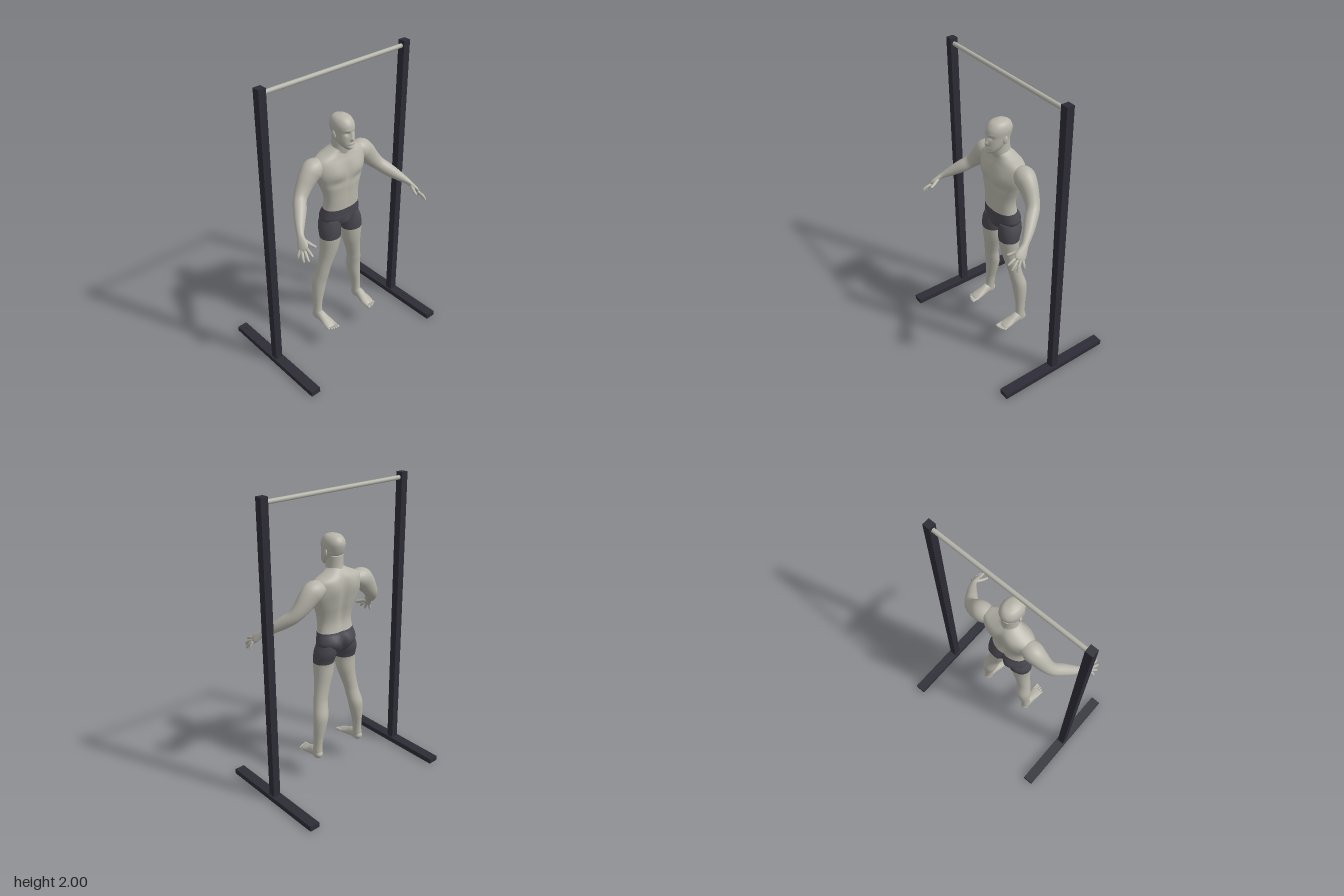
import * as THREE from 'three';

const V = (x, y, z) => new THREE.Vector3(x, y, z);
const paint = (name, color) => Object.assign(new THREE.MeshStandardMaterial({ color }), { name });

// Catmull-Rom interpolation through rows of numbers
function smoothRows(rows, steps) {
  const out = [];
  const at = i => rows[Math.min(Math.max(i, 0), rows.length - 1)];
  for (let i = 0; i < rows.length - 1; i++) {
    for (let k = 0; k < steps; k++) {
      const t = k / steps;
      out.push(rows[i].map((b, c) => {
        const a = at(i - 1)[c], d = at(i + 1)[c], e = at(i + 2)[c];
        return b + 0.5 * t * (d - a + t * (2 * a - 5 * b + 4 * d - e + t * (3 * (b - d) + e - a)));
      }));
    }
  }
  out.push(at(rows.length - 1));
  return out;
}

// Closed loft through [x, y, z, radius along hint, other radius]
function loft(sections, { hint = V(1, 0, 0), flat = false, sides = 24, steps = 4, power = 2, side = 1, sculpt, inShorts } = {}) {
  const rows = smoothRows(sections, steps);
  const centres = rows.map(r => V(r[0] * side, r[1], r[2]));
  const pos = [], index = [], last = rows.length - 1;
  const geo = new THREE.BufferGeometry();
  const round = c => Math.sign(c) * Math.abs(c) ** (2 / power);
  rows.forEach((r, i) => {
    const t = centres[Math.min(i + 1, last)].clone().sub(centres[Math.max(i - 1, 0)]);
    if (flat) t.set(0, Math.sign(t.y), 0);
    t.normalize();
    const u = V(hint.x * side, hint.y, hint.z);
    u.addScaledVector(t, -u.dot(t)).normalize();
    const v = t.clone().cross(u);
    for (let j = 0; j < sides; j++) {
      const a = j / sides * Math.PI * 2;
      const p = centres[i].clone().addScaledVector(u, r[3] * round(Math.cos(a))).addScaledVector(v, r[4] * round(Math.sin(a)));
      if (sculpt) sculpt(p);
      pos.push(p.x, p.y, p.z);
    }
  });
  const start = pos.length / 3;
  [0, last].forEach(i => pos.push(...centres[i].toArray()));
  for (let i = 0; i < last; i++) {
    const from = index.length;
    for (let j = 0; j < sides; j++) {
      const k = (j + 1) % sides, a = i * sides + j, b = i * sides + k;
      index.push(a, b, b + sides, a, b + sides, a + sides);
      if (i === 0) index.push(start, b, a);
      if (i === last - 1) index.push(start + 1, a + sides, b + sides);
    }
    const y = (centres[i].y + centres[i + 1].y) / 2;
    if (inShorts) geo.addGroup(from, index.length - from, inShorts(y) ? 1 : 0);
  }
  geo.setAttribute('position', new THREE.Float32BufferAttribute(pos, 3));
  geo.setIndex(index);
  geo.computeVertexNormals();
  return geo;
}

// Horizontal slices [y, x centre, half width, front z, back z]
const slices = list => list.map(([y, x, w, f, b]) => [x, y, (f + b) / 2, w, (f - b) / 2]);

// Soft push in z around a mirrored spot; front and back are kept apart
function push(p, x, y, sx, sy, amount, front = true, split = 0.03) {
  if (front !== p.z > split) return;
  p.z += amount * Math.exp(-(((Math.abs(p.x) - x) / sx) ** 2) - ((p.y - y) / sy) ** 2);
}

export function createModel() {
  const model = new THREE.Group();
  const skin = paint('skin', 0xb7b5aa), shorts = paint('shorts', 0x4a4850);
  const frame = paint('frame', 0x2d2c36), steel = paint('steel', 0xb4b3a8);
  const add = (name, geo, mat, parent = model) => {
    const mesh = new THREE.Mesh(geo, mat);
    mesh.name = name;
    parent.add(mesh);
    return mesh;
  };
  const inShorts = y => y > 0.85 && y < 1.06;

  // Pull-up frame
  for (const s of [1, -1]) {
    add('post', new THREE.BoxGeometry(0.05, 1.965, 0.05), frame).position.set(s * 0.55, 1.0175, 0);
    add('baseFoot', new THREE.BoxGeometry(0.07, 0.035, 0.82), frame).position.set(s * 0.55, 0.0175, 0);
  }
  const bar = add('bar', new THREE.CylinderGeometry(0.014, 0.014, 1.05, 24), steel);
  bar.rotation.z = Math.PI / 2;
  bar.position.y = 1.965;

  const figure = new THREE.Group();
  figure.name = 'figure';
  model.add(figure);

  // Torso with pelvis
  add('torso', loft(slices([
    [0.9, 0, 0.03, 0.06, -0.02], [0.93, 0, 0.1, 0.085, -0.05], [0.98, 0, 0.147, 0.1, -0.068],
    [1.02, 0, 0.144, 0.103, -0.064], [1.06, 0, 0.133, 0.105, -0.048], [1.12, 0, 0.128, 0.106, -0.038],
    [1.18, 0, 0.138, 0.106, -0.045], [1.25, 0, 0.163, 0.109, -0.062], [1.32, 0, 0.188, 0.108, -0.074],
    [1.38, 0, 0.192, 0.098, -0.077], [1.42, 0, 0.175, 0.083, -0.072], [1.45, 0, 0.11, 0.074, -0.058],
    [1.48, 0, 0.055, 0.07, -0.035], [1.5, 0, 0.045, 0.06, -0.02],
  ]), {
    flat: true, sides: 64, power: 2.2, inShorts,
    sculpt: p => {
      push(p, 0.085, 1.33, 0.06, 0.05, 0.012);
      push(p, 0.08, 1.26, 0.06, 0.02, -0.008);
      push(p, 0, 1.33, 0.014, 0.07, -0.008);
      push(p, 0, 1.14, 0.012, 0.09, -0.004);
      push(p, 0, 1.25, 0.025, 0.18, 0.016, false);
      push(p, 0.08, 1.37, 0.05, 0.06, -0.01, false);
      push(p, 0.065, 0.98, 0.045, 0.04, -0.012, false);
      push(p, 0, 0.96, 0.015, 0.06, 0.025, false);
      push(p, 0, 0.95, 0.03, 0.03, 0.012);
    },
  }), [skin, shorts], figure);

  // Neck and head
  add('neck', loft(slices([
    [1.4, 0, 0.07, 0.07, -0.05], [1.44, 0, 0.066, 0.078, -0.046], [1.48, 0, 0.055, 0.086, -0.034],
    [1.52, 0, 0.052, 0.085, -0.03], [1.56, 0, 0.05, 0.08, -0.03],
  ]), { flat: true, sides: 32 }), skin, figure);
  add('head', loft(slices([
    [1.483, 0, 0.02, 0.122, 0.08], [1.5, 0, 0.037, 0.132, 0.045], [1.525, 0, 0.051, 0.132, 0.01],
    [1.555, 0, 0.059, 0.13, -0.02], [1.59, 0, 0.063, 0.127, -0.038], [1.63, 0, 0.066, 0.127, -0.047],
    [1.66, 0, 0.058, 0.112, -0.037], [1.68, 0, 0.04, 0.088, -0.014], [1.69, 0, 0.008, 0.05, 0.03],
  ]), {
    flat: true, sides: 72, steps: 6, power: 2.1,
    sculpt: p => {
      push(p, 0.025, 1.592, 0.012, 0.01, -0.012, true, 0.06);
      push(p, 0.025, 1.61, 0.02, 0.007, 0.005, true, 0.06);
      push(p, 0, 1.556, 0.01, 0.012, 0.017, true, 0.06);
      push(p, 0, 1.58, 0.007, 0.018, 0.009, true, 0.06);
      push(p, 0, 1.524, 0.02, 0.005, 0.006, true, 0.06);
      push(p, 0, 1.515, 0.02, 0.003, -0.005, true, 0.06);
      push(p, 0, 1.495, 0.02, 0.008, 0.006, true, 0.06);
    },
  }), skin, figure);

  const across = V(0.38, -0.36, -0.86);
  const fingers = [
    ['thumb', [0.458, 1.085, 0.22], [0.44, 1.067, 0.262], [0.427, 1.06, 0.295]],
    ['indexFinger', [0.473, 1.053, 0.265], [0.477, 1.043, 0.298], [0.478, 1.03, 0.325]],
    ['middleFinger', [0.485, 1.045, 0.257], [0.497, 1.023, 0.292], [0.5, 1.0, 0.315]],
    ['ringFinger', [0.494, 1.04, 0.245], [0.51, 1.012, 0.27], [0.515, 0.985, 0.285]],
    ['littleFinger', [0.498, 1.042, 0.232], [0.516, 1.015, 0.237], [0.521, 0.99, 0.237]],
  ];

  for (const side of [1, -1]) {
    const label = side > 0 ? 'left' : 'right';
    const ear = add(label + 'Ear', new THREE.SphereGeometry(1, 16, 12), skin, figure);
    ear.scale.set(0.008, 0.026, 0.015);
    ear.position.set(side * 0.064, 1.573, 0.04);
    ear.rotation.set(-0.2, side * -0.3, 0);

    // Arm and palm in one sweep
    add(label + 'Arm', loft([
      [0.12, 1.385, -0.005, 0.045, 0.035], [0.19, 1.37, -0.003, 0.066, 0.068], [0.235, 1.335, 0, 0.06, 0.067],
      [0.285, 1.275, 0.01, 0.049, 0.055], [0.33, 1.225, 0.032, 0.042, 0.044], [0.37, 1.185, 0.078, 0.041, 0.042],
      [0.415, 1.143, 0.13, 0.033, 0.033], [0.453, 1.107, 0.18, 0.023, 0.02], [0.467, 1.087, 0.205, 0.028, 0.017],
      [0.48, 1.063, 0.233, 0.036, 0.015], [0.488, 1.048, 0.25, 0.03, 0.011], [0.491, 1.042, 0.257, 0.015, 0.005],
    ], { hint: across, side, sides: 32 }), skin, figure);
    for (const [name, base, mid, tip] of fingers) {
      const r = name === 'thumb' ? 0.011 : 0.009;
      const end = tip.map((c, i) => c + (mid[i] - c) * 0.12);
      add(label + name[0].toUpperCase() + name.slice(1), loft([
        [...base, r * 1.1, r * 1.1], [...mid, r, r], [...end, r * 0.7, r * 0.7], [...tip, r * 0.15, r * 0.15],
      ], { hint: across, side, sides: 12 }), skin, figure);
    }

    // Leg
    add(label + 'Leg', loft(slices([
      [0.98, 0.08, 0.058, 0.09, -0.058], [0.92, 0.088, 0.072, 0.1, -0.058], [0.85, 0.092, 0.073, 0.1, -0.035],
      [0.76, 0.098, 0.066, 0.09, -0.031], [0.68, 0.114, 0.056, 0.075, -0.028], [0.6, 0.134, 0.05, 0.06, -0.03],
      [0.55, 0.143, 0.05, 0.053, -0.04], [0.48, 0.155, 0.052, 0.041, -0.058], [0.4, 0.166, 0.044, 0.035, -0.053],
      [0.32, 0.176, 0.032, 0.03, -0.041], [0.26, 0.18, 0.029, 0.03, -0.036], [0.22, 0.182, 0.03, 0.035, -0.036],
      [0.18, 0.182, 0.027, 0.04, -0.036], [0.167, 0.182, 0.018, 0.03, -0.026],
    ]), { flat: true, side, sides: 36, inShorts }), [skin, shorts], figure);

    // Foot and toes
    add(label + 'Foot', loft([
      [0.183, 0.187, -0.04, 0.008, 0.008], [0.183, 0.192, -0.025, 0.026, 0.027], [0.182, 0.204, 0.02, 0.03, 0.039],
      [0.18, 0.194, 0.07, 0.035, 0.029], [0.179, 0.185, 0.11, 0.04, 0.02], [0.178, 0.178, 0.14, 0.037, 0.013],
      [0.178, 0.176, 0.15, 0.025, 0.007],
    ], { side, sides: 28 }), skin, figure);
    for (let i = 0; i < 5; i++) {
      const x = 0.149 + i * 0.0155, r = i ? 0.0085 : 0.012, end = 0.181 - i * i * 0.0014;
      add(label + 'Toe', loft([
        [x, 0.179, 0.125, r, r], [x, 0.176, end - 0.02, r * 0.85, r * 0.85],
        [x, 0.175, end - 0.006, r, r * 0.9], [x, 0.174, end, r * 0.3, r * 0.3],
      ], { side, sides: 12 }), skin, figure);
    }
  }
  return model;
}
